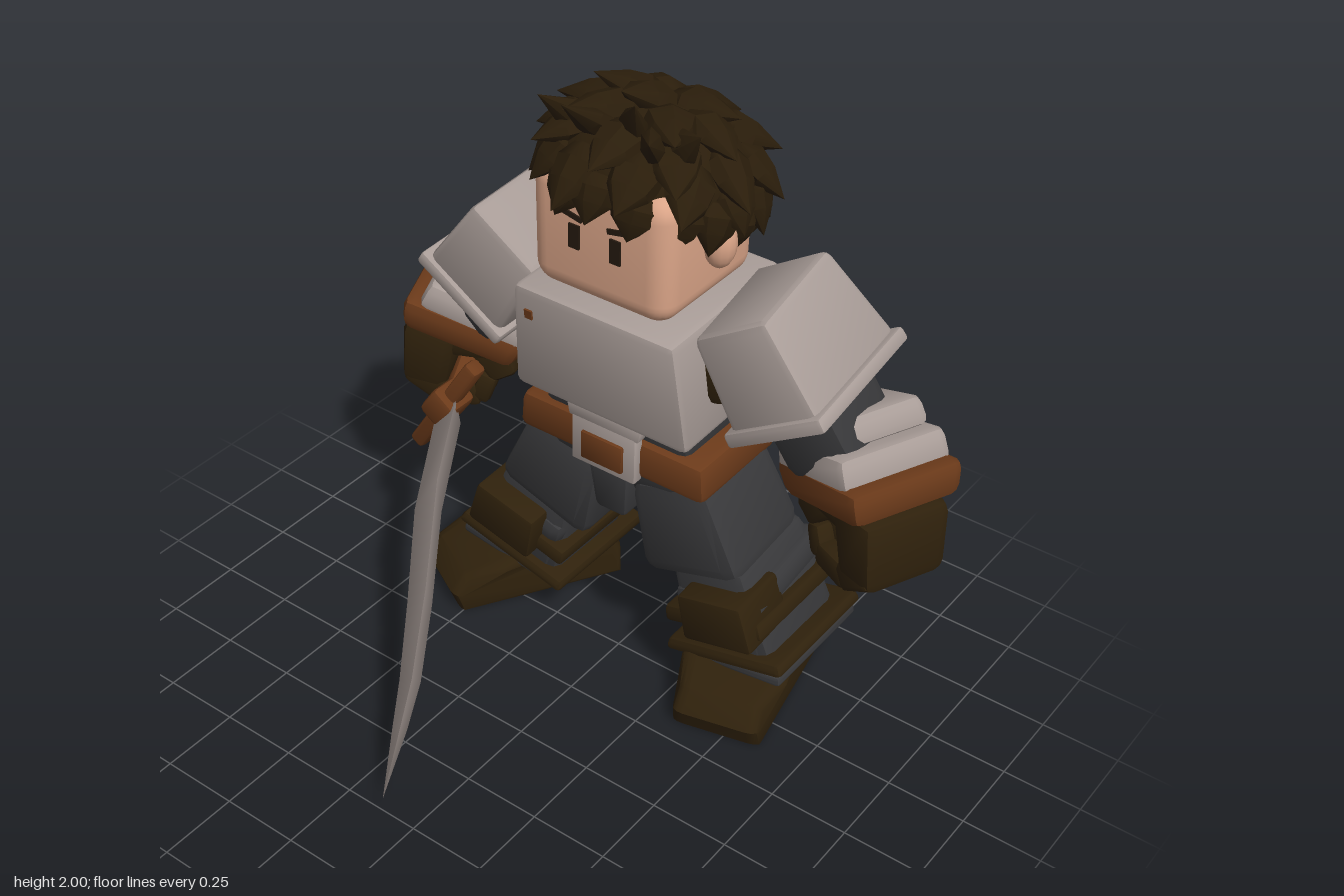
import * as THREE from 'three';
import { toCreasedNormals } from 'three/addons/utils/BufferGeometryUtils.js';
import { RoundedBoxGeometry } from 'three/addons/geometries/RoundedBoxGeometry.js';

const V = (x, y, z) => new THREE.Vector3(x, y, z);
const lerp = THREE.MathUtils.lerp;

function material(name, color) {
  const m = new THREE.MeshStandardMaterial({ color });
  m.name = name;
  return m;
}

export function createModel() {
  const steel = material('steel', 0xa89c97);
  const leather = material('leather', 0x6b3a1a);
  const darkLeather = material('dark leather', 0x2f210c);
  const hairMat = material('hair', 0x2a1d0b);
  const cloth = material('dark cloth', 0x38383a);
  const skin = material('skin', 0xdba588);
  const ink = material('eye', 0x24190f);
  hairMat.side = THREE.DoubleSide;

  const root = new THREE.Group();
  root.name = 'knight';

  function group(parent, name) {
    const g = new THREE.Group();
    g.name = name;
    parent.add(g);
    return g;
  }

  function add(parent, name, geo, mat) {
    const mesh = new THREE.Mesh(geo, mat);
    mesh.name = name;
    parent.add(mesh);
    return mesh;
  }

  // Chamfered box from p0 to p1, with its own width and depth at each end
  function block(parent, name, mat, p0, p1, a, b, r = 0.03, seg = 1) {
    const dir = p1.clone().sub(p0), h = dir.length();
    const w = Math.max(a[0], b[0]), d = Math.max(a[1], b[1]);
    const geo = new RoundedBoxGeometry(w, h, d, seg, Math.min(r, h * 0.49, w * 0.49, d * 0.49));
    const pos = geo.attributes.position;
    for (let i = 0; i < pos.count; i++) {
      const t = pos.getY(i) / h + 0.5;
      pos.setX(i, pos.getX(i) * lerp(a[0], b[0], t) / w);
      pos.setZ(i, pos.getZ(i) * lerp(a[1], b[1], t) / d);
    }
    const mesh = add(parent, name, toCreasedNormals(geo, 0.6), mat);
    const y = dir.normalize();
    const x = y.clone().cross(V(0, 0, 1)).normalize();
    const z = x.clone().cross(y).normalize();
    mesh.quaternion.setFromRotationMatrix(new THREE.Matrix4().makeBasis(x, y, z));
    mesh.position.copy(p0).add(p1).multiplyScalar(0.5);
  }

  // Head, ears and eyes
  const head = group(root, 'head');
  block(head, 'face', skin, V(0, 1.36, -0.335), V(0, 1.76, -0.335), [0.475, 0.45], [0.48, 0.46], 0.07, 4);
  block(head, 'neck', skin, V(0, 1.28, -0.38), V(0, 1.42, -0.38), [0.28, 0.28], [0.26, 0.26], 0.04);
  for (const s of [-1, 1]) {
    const ear = add(head, 'ear', new THREE.SphereGeometry(1, 14, 10), skin);
    ear.scale.set(0.05, 0.08, 0.048);
    ear.position.set(s * 0.262, 1.565, -0.325);
    const eye = add(head, 'eye', new THREE.BoxGeometry(0.036, 0.075, 0.008), ink);
    eye.position.set(s * 0.07, 1.565, -0.105);
    const brow = add(head, 'eyebrow', new THREE.BoxGeometry(0.075, 0.016, 0.008), ink);
    brow.position.set(s * 0.08, 1.63, -0.105);
    brow.rotation.z = s * 0.2;
  }

  // Hair: tilted cap covered in rings of pointed locks
  const hair = group(root, 'hair');
  hair.position.set(0, 1.66, -0.375);
  hair.rotation.x = -0.4;
  const R = V(0.295, 0.235, 0.315);
  const cap = add(hair, 'hairCap', new THREE.SphereGeometry(1, 24, 14, 0, Math.PI * 2, 0, Math.PI * 0.58), hairMat);
  cap.scale.copy(R);
  block(root, 'hairNape', hairMat, V(0, 1.48, -0.475), V(0, 1.68, -0.475), [0.49, 0.25], [0.56, 0.32], 0.06, 2);
  const profile = [[0, -0.25], [0.7, -0.12], [1, 0.15], [0.8, 0.5], [0, 1]].map(p => new THREE.Vector2(p[0], p[1]));
  const lockGeo = toCreasedNormals(new THREE.LatheGeometry(profile, 7), 0.7);
  function lock(parent, p0, p1, out, radius) {
    const y = p1.clone().sub(p0), len = y.length();
    y.normalize();
    const x = y.clone().cross(out).normalize();
    const z = x.clone().cross(y);
    const m = add(parent, 'hairLock', lockGeo, hairMat);
    m.quaternion.setFromRotationMatrix(new THREE.Matrix4().makeBasis(x, y, z));
    m.position.copy(p0);
    m.scale.set(radius, len, radius * 0.65);
  }
  let seed = 7;
  const rnd = () => (seed = (seed * 16807) % 2147483647) / 2147483647;
  const onCap = (th, ph, k) => V(Math.sin(th) * Math.sin(ph), Math.cos(th), Math.sin(th) * Math.cos(ph)).multiply(R).multiplyScalar(k);
  // Each ring: polar angle, number of locks, how far the tips stand out
  [[0.15, 5, 1.16], [0.55, 8, 1.2], [0.95, 10, 1.2], [1.32, 12, 1.16], [1.65, 15, 1.06], [1.85, 14, 1.06]].forEach(([th, n, k], ring) => {
    for (let i = 0; i < n; i++) {
      const ph = (i + ring * 0.5 + rnd() * 0.35) / n * Math.PI * 2;
      const a = th + (rnd() - 0.5) * 0.12;
      const tip = onCap(a + 0.44 + rnd() * 0.14, ph + (rnd() - 0.5) * 0.2, k + rnd() * 0.14);
      // The lowest ring covers only the back of the head
      if (ring === 5 && Math.cos(ph) > -0.2) continue;
      const p0 = onCap(a, ph, 0.92);
      lock(hair, p0, tip, p0, 0.08);
    }
  });
  // Raised tuft above the forehead
  const tuft = group(root, 'hairTuft');
  [[-0.11, -0.19, 1.96, -0.1], [-0.04, -0.08, 1.98, -0.06], [0.02, 0.1, 2.0, -0.14], [0.09, 0.19, 1.94, -0.08], [0.15, 0.27, 1.94, -0.2]]
    .forEach(([x0, x1, y, z]) => lock(tuft, V(x0, 1.83, -0.25), V(x1, y, z), V(0, 0.3, 1), 0.06));

  // Torso
  const torso = group(root, 'torso');
  block(torso, 'breastplate', steel, V(0, 0.97, -0.37), V(0, 1.35, -0.36), [0.62, 0.48], [0.56, 0.55], 0.025);
  const stud = add(torso, 'stud', new THREE.BoxGeometry(0.026, 0.03, 0.008), leather);
  stud.position.set(-0.225, 1.255, -0.093);
  stud.rotation.x = 0.12;
  block(torso, 'collar', cloth, V(0, 1.31, -0.38), V(0, 1.365, -0.38), [0.4, 0.4], [0.36, 0.36], 0.02);
  block(torso, 'underarmPadding', darkLeather, V(0, 1.07, -0.4), V(0, 1.28, -0.4), [0.7, 0.3], [0.74, 0.34], 0.04);
  block(torso, 'waist', cloth, V(0, 0.84, -0.38), V(0, 1.0, -0.38), [0.52, 0.34], [0.52, 0.36], 0.03);
  block(torso, 'belt', leather, V(0, 0.765, -0.38), V(0, 0.892, -0.38), [0.68, 0.4], [0.66, 0.4], 0.025);
  for (const [s, z] of [[1, -0.172], [-1, -0.588]]) {
    block(torso, 'buckle', steel, V(0, 0.76, z), V(0, 0.925, z), [0.23, 0.04], [0.23, 0.04], 0.005);
    block(torso, 'buckleTop', steel, V(0, 0.915, z), V(0, 0.965, z), [0.25, 0.04], [0.27, 0.04], 0.005);
    block(torso, 'buckleCentre', leather, V(0, 0.785, z + s * 0.016), V(0, 0.88, z + s * 0.016), [0.15, 0.03], [0.15, 0.03], 0.005);
  }
  block(torso, 'hips', cloth, V(0, 0.66, -0.38), V(0, 0.79, -0.38), [0.3, 0.3], [0.56, 0.36], 0.03);
  block(torso, 'crotchFlap', cloth, V(0, 0.58, -0.36), V(0, 0.77, -0.36), [0.11, 0.34], [0.15, 0.38], 0.02);

  for (const s of [-1, 1]) {
    const P = (x, y, z) => V(s * x, y, z);
    const side = s > 0 ? 'left' : 'right';

    // Shoulder and upper arm
    const arm = group(root, side + 'Arm');
    block(arm, 'pauldron', steel, P(0.55, 1.15, -0.415), P(0.375, 1.42, -0.365), [0.32, 0.46], [0.27, 0.37], 0.025);
    block(arm, 'pauldronRim', steel, P(0.56, 1.135, -0.415), P(0.535, 1.175, -0.41), [0.355, 0.49], [0.355, 0.48], 0.012);
    block(arm, 'sleeve', cloth, P(0.66, 0.96, -0.43), P(0.48, 1.25, -0.4), [0.25, 0.28], [0.25, 0.28], 0.05);

    // Forearm and hand, turned inward; parts are placed around the wrist
    const fore = group(arm, 'forearm');
    fore.position.set(s * 0.735, 0, -0.44);
    fore.rotation.y = -s * 0.42;
    block(fore, 'upperBracer', steel, P(-0.095, 1.0, 0.0), P(-0.135, 1.085, 0.0), [0.31, 0.33], [0.28, 0.31], 0.03);
    block(fore, 'lowerBracer', steel, P(-0.035, 0.92, 0), P(-0.075, 1.02, 0), [0.36, 0.37], [0.34, 0.36], 0.03);
    block(fore, 'cuff', leather, P(0.01, 0.85, 0), P(-0.025, 0.96, 0), [0.37, 0.36], [0.41, 0.39], 0.035);
    // Gloved hand curled around a grip that runs front to back
    block(fore, 'palm', darkLeather, P(0.135, 0.65, 0), P(0.1, 0.89, 0), [0.15, 0.28], [0.19, 0.3], 0.04);
    block(fore, 'wrist', darkLeather, P(0.0, 0.785, 0), P(0.0, 0.89, 0), [0.27, 0.27], [0.3, 0.28], 0.03);
    block(fore, 'thumb', darkLeather, P(-0.14, 0.72, 0.08), P(-0.06, 0.86, 0.05), [0.09, 0.11], [0.15, 0.15], 0.025);
    for (let i = 0; i < 4; i++) {
      const z = 0.105 - i * 0.07;
      block(fore, 'knuckle', darkLeather, P(0.175, 0.72, z), P(0.06, 0.635, z), [0.1, 0.068], [0.09, 0.068], 0.02);
      block(fore, 'finger', darkLeather, P(0.09, 0.645, z), P(-0.055, 0.65, z), [0.09, 0.068], [0.08, 0.068], 0.02);
      block(fore, 'fingertip', darkLeather, P(-0.045, 0.63, z), P(-0.085, 0.73, z), [0.07, 0.066], [0.06, 0.062], 0.02);
    }

    // Leg
    const leg = group(root, side + 'Leg');
    block(leg, 'thigh', cloth, P(0.285, 0.46, -0.395), P(0.185, 0.77, -0.37), [0.37, 0.38], [0.28, 0.34], 0.05);
    block(leg, 'shin', cloth, P(0.43, 0.14, -0.435), P(0.32, 0.5, -0.41), [0.33, 0.38], [0.26, 0.36], 0.04);
    block(leg, 'kneeBand', cloth, P(0.38, 0.35, -0.43), P(0.35, 0.44, -0.42), [0.3, 0.41], [0.3, 0.4], 0.03);
    block(leg, 'kneePlate', darkLeather, P(0.425, 0.29, -0.27), P(0.385, 0.45, -0.26), [0.25, 0.22], [0.23, 0.21], 0.015);
    block(leg, 'strap', darkLeather, P(0.38, 0.29, -0.41), P(0.365, 0.345, -0.41), [0.36, 0.41], [0.35, 0.4], 0.015);
    block(leg, 'ankleBand', cloth, P(0.425, 0.155, -0.44), P(0.42, 0.19, -0.44), [0.39, 0.44], [0.39, 0.44], 0.012);
    block(leg, 'bootCuff', darkLeather, P(0.42, 0.18, -0.44), P(0.41, 0.22, -0.44), [0.43, 0.47], [0.41, 0.45], 0.015);

    // Boot from a side profile, toe turned outward
    const boot = new THREE.Shape([[-0.26, 0], [0.27, 0], [0.285, 0.05], [0.25, 0.1], [0.14, 0.13], [0.04, 0.16], [-0.22, 0.16], [-0.26, 0.08]]
      .map(p => new THREE.Vector2(p[0], p[1])));
    const geo = new THREE.ExtrudeGeometry(boot, { depth: 0.25, bevelSize: 0.025, bevelThickness: 0.05, bevelSegments: 3 });
    geo.translate(0, 0.01, -0.125).rotateY(-Math.PI / 2);
    // Narrow the toe and heel, slope the toe's sides, keep the sole on the ground
    const pos = geo.attributes.position;
    for (let i = 0; i < pos.count; i++) {
      const z = pos.getZ(i), y = Math.max(0, pos.getY(i));
      pos.setX(i, pos.getX(i) * (z > 0.2 ? 0.8 : z < -0.2 ? 0.92 : 1.02) * (1.04 - y * 0.6));
      pos.setY(i, y);
    }
    const mesh = add(leg, 'boot', toCreasedNormals(geo, 0.7), darkLeather);
    mesh.position.set(s > 0 ? 0.405 : -0.485, 0, -0.385);
    mesh.rotation.y = s > 0 ? 0.24 : -0.5;
  }

  // Sword held in the right hand
  const sword = group(root, 'sword');
  block(sword, 'grip', leather, V(-0.86, 0.8, -0.7), V(-0.65, 0.67, -0.22), [0.07, 0.07], [0.07, 0.07], 0.02);
  const pommel = add(sword, 'pommel', new THREE.SphereGeometry(0.065, 8, 6), leather);
  pommel.position.set(-0.87, 0.81, -0.72);
  block(sword, 'crossguard', leather, V(-0.78, 0.49, -0.21), V(-0.54, 0.87, -0.22), [0.055, 0.06], [0.055, 0.06], 0.015);
  block(sword, 'guardBlock', leather, V(-0.7, 0.63, -0.22), V(-0.63, 0.73, -0.22), [0.1, 0.12], [0.1, 0.12], 0.02);

  // Blade: diamond cross-sections given by upper edge, lower edge and half thickness
  const stations = [
    [V(-0.66, 0.64, -0.24), V(-0.66, 0.64, -0.24), 0],
    [V(-0.61, 0.73, -0.2), V(-0.68, 0.52, -0.19), 0.042],
    [V(-0.45, 0.66, 0.08), V(-0.53, 0.38, 0.09), 0.042],
    [V(-0.29, 0.48, 0.33), V(-0.4, 0.265, 0.27), 0.038],
    [V(-0.15, 0.365, 0.56), V(-0.29, 0.165, 0.43), 0.032],
    [V(-0.11, 0.28, 0.66), V(-0.2, 0.125, 0.58), 0.022],
    [V(-0.095, 0.08, 0.77), V(-0.095, 0.08, 0.77), 0],
  ];
  const n = V(0.86, 0, -0.51);
  const points = [], faces = [];
  stations.forEach(([up, low, t], k) => {
    const mid = up.clone().add(low).multiplyScalar(0.5);
    for (const p of [up, mid.clone().addScaledVector(n, t), low, mid.clone().addScaledVector(n, -t)]) points.push(p);
    for (let i = 0; k > 0 && i < 4; i++) {
      const a = (k - 1) * 4 + i, a2 = (k - 1) * 4 + (i + 1) % 4;
      faces.push(a, a + 4, a2, a2, a + 4, a2 + 4);
    }
  });
  const blade = new THREE.BufferGeometry().setFromPoints(points);
  blade.setIndex(faces);
  add(sword, 'blade', toCreasedNormals(blade, 0.9), steel);

  return root;
}
